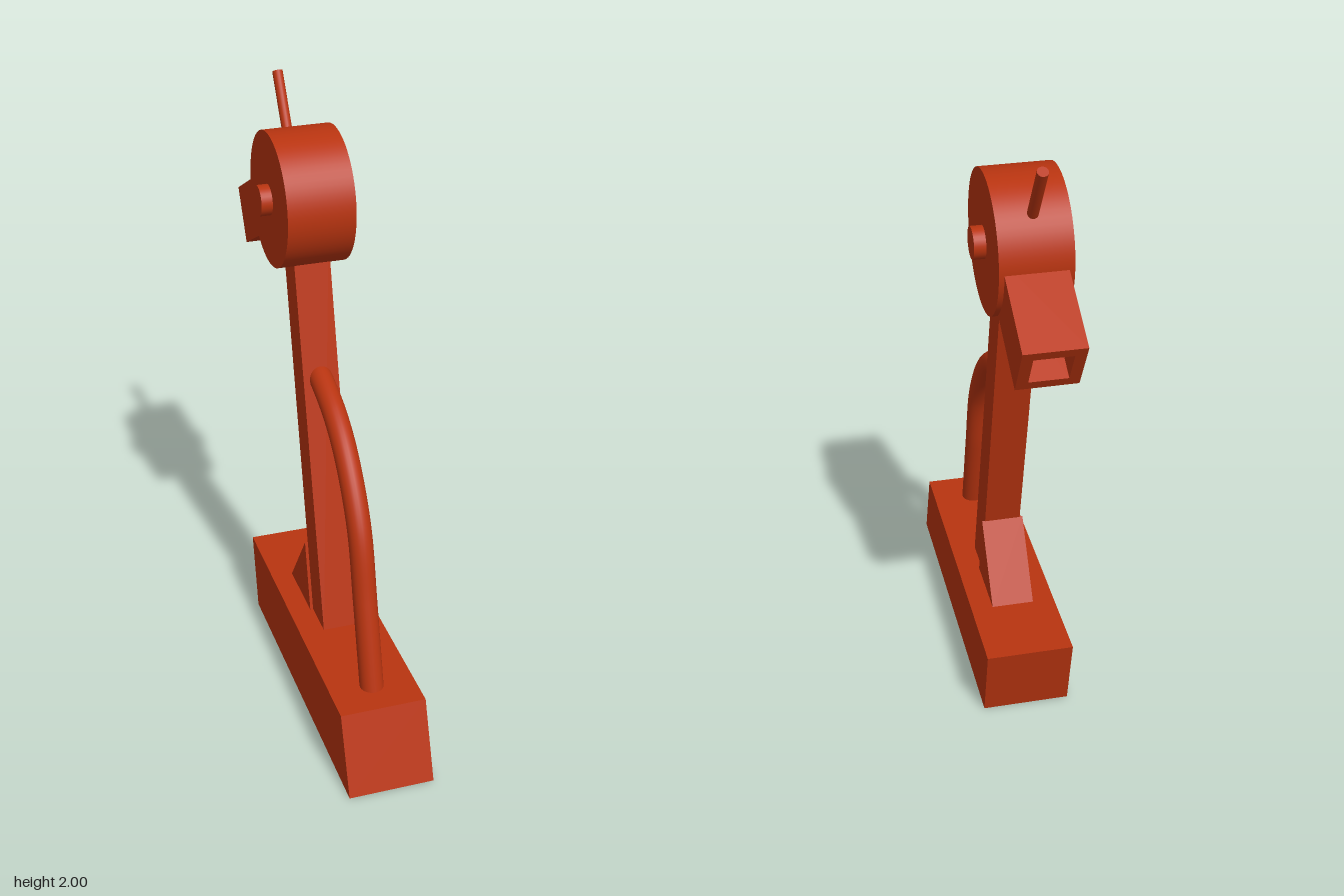
import * as THREE from 'three';

const material = new THREE.MeshStandardMaterial({ color: 0xb83410 });

export function createModel() {
  const group = new THREE.Group();

  function add(name, geometry) {
    const mesh = new THREE.Mesh(geometry, material);
    mesh.name = name;
    group.add(mesh);
    return mesh;
  }

  // Side profile given as [z, y] points, extruded across x and centred
  function slab(name, points, width) {
    const shape = new THREE.Shape(points.map(([z, y]) => new THREE.Vector2(z, y)));
    const geometry = new THREE.ExtrudeGeometry(shape, { depth: width, bevelEnabled: false });
    geometry.translate(0, 0, -width / 2).rotateY(-Math.PI / 2);
    return add(name, geometry);
  }

  // Slanted base, leaning post and rear gusset
  slab('base', [[0.705, 0], [-0.39, 0], [-0.45, 0.26], [0.61, 0.26]], 0.285);
  slab('post', [[0.165, 0.255], [0.04, 0.255], [-0.285, 1.55], [-0.17, 1.55]], 0.12);
  slab('gusset', [[0.04, 0.255], [-0.19, 0.255], [-0.02, 0.5]], 0.14);

  // Round head with its axle
  function drum(name, radius, width, segments) {
    const geometry = new THREE.CylinderGeometry(radius, radius, width, segments);
    geometry.rotateZ(Math.PI / 2);
    add(name, geometry).position.set(0, 1.665, -0.26);
  }
  drum('head', 0.22, 0.222, 64);
  drum('axle', 0.05, 0.295, 32);

  // Hollow square spout pointing back and down
  const half = 0.095, inner = 0.06, length = 0.32;
  const square = (s) => [[-s, -s], [s, -s], [s, s], [-s, s]].map(([x, y]) => new THREE.Vector2(x, y));
  const section = new THREE.Shape(square(half));
  section.holes.push(new THREE.Path(square(inner)));
  const spout = add('spout', new THREE.ExtrudeGeometry(section, { depth: length, bevelEnabled: false }));
  spout.geometry.translate(0, 0, -length);
  spout.position.set(0, 1.447, -0.662);
  spout.lookAt(0, 1.447 - 0.125, -0.662 - 0.222);

  // Thin lever on top of the head
  const leverStart = new THREE.Vector3(0, 1.77, -0.388);
  const leverEnd = new THREE.Vector3(0, 1.99, -0.53);
  const axis = leverEnd.clone().sub(leverStart);
  const lever = add('lever', new THREE.CylinderGeometry(0.017, 0.017, axis.length(), 20));
  lever.position.copy(leverStart).add(leverEnd).multiplyScalar(0.5);
  lever.quaternion.setFromUnitVectors(new THREE.Vector3(0, 1, 0), axis.normalize());

  // Bent pipe from the base to the post
  const path = new THREE.CatmullRomCurve3([
    [0.497, 0.235], [0.415, 0.54], [0.345, 0.78], [0.217, 0.96], [0.095, 1.05], [-0.06, 1.105], [-0.09, 1.11],
  ].map(([z, y]) => new THREE.Vector3(0, y, z)));
  add('pipe', new THREE.TubeGeometry(path, 64, 0.039, 24));

  return group;
}
